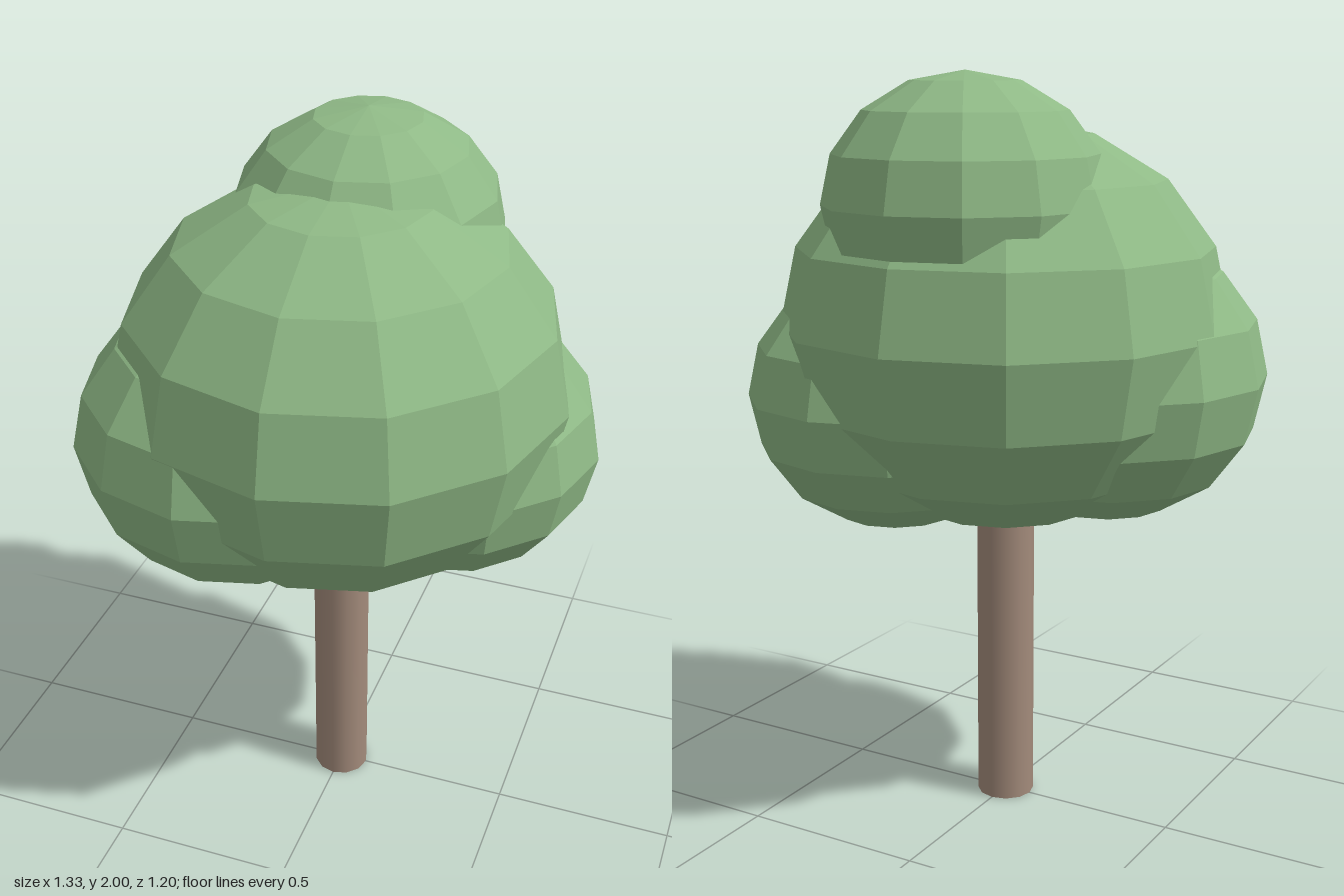
import * as THREE from 'three';

export function createModel() {
  const tree = new THREE.Group();
  tree.name = 'tree';

  const leaf = new THREE.MeshStandardMaterial({ color: 0x8fb986, flatShading: true });
  const bark = new THREE.MeshStandardMaterial({ color: 0xa38b7b });

  // Trunk, running up into the foliage
  const trunkHeight = 1.0;
  const trunk = new THREE.Mesh(new THREE.CylinderGeometry(0.078, 0.078, trunkHeight, 12), bark);
  trunk.name = 'trunk';
  trunk.position.y = trunkHeight / 2;
  tree.add(trunk);

  // Foliage clumps: low-poly spheres, slightly squashed in height
  const clumps = [
    ['mainFoliage', 0.6, 0, 1.34, 0],
    ['topFoliage', 0.366, 0, 1.67, -0.2],
    ['leftFoliage', 0.4, 0.265, 1.146, -0.132],
    ['rightFoliage', 0.432, -0.235, 1.205, 0.134],
  ];
  for (const [name, radius, x, y, z] of clumps) {
    const clump = new THREE.Mesh(new THREE.SphereGeometry(radius, 12, 8), leaf);
    clump.name = name;
    clump.scale.y = 0.9;
    clump.position.set(x, y, z);
    tree.add(clump);
  }

  return tree;
}
